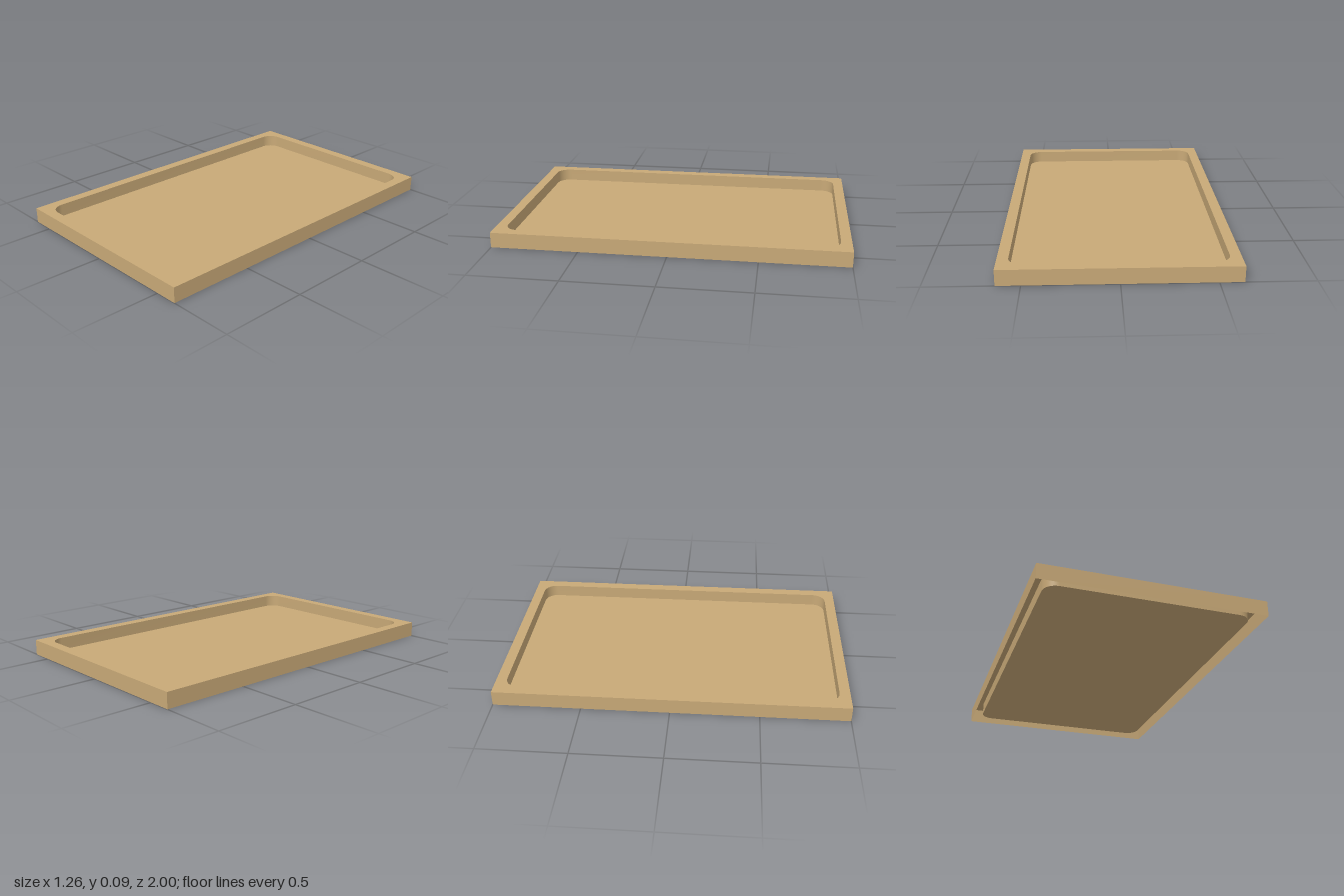
import * as THREE from 'three';
import { toCreasedNormals } from 'three/addons/utils/BufferGeometryUtils.js';

const HALF_W = 0.63, HALF_L = 1, HEIGHT = 0.088;
const BORDER = 0.06, RADIUS = 0.075, FLOOR_Y = 0.015;

// Counter-clockwise rectangle outline with rounded corners (radius 0 = sharp)
function outline(w, l, r) {
  const points = [];
  const steps = r > 0 ? 12 : 0;
  [[1, 1], [-1, 1], [-1, -1], [1, -1]].forEach(([sx, sy], corner) => {
    for (let i = 0; i <= steps; i++) {
      const a = (corner + (steps ? i / steps : 0)) * Math.PI / 2;
      points.push(new THREE.Vector2(sx * (w - r) + r * Math.cos(a), sy * (l - r) + r * Math.sin(a)));
    }
  });
  return points;
}

// Horizontal sheet facing up
function sheet(points, y, hole) {
  const shape = new THREE.Shape(points);
  if (hole) shape.holes.push(new THREE.Path(hole));
  return new THREE.ShapeGeometry(shape).rotateX(-Math.PI / 2).translate(0, y, 0);
}

// Vertical band following an outline
function band(points, y0, y1) {
  const positions = [];
  points.forEach((a, i) => {
    const b = points[(i + 1) % points.length];
    positions.push(a.x, y0, -a.y, b.x, y0, -b.y, b.x, y1, -b.y);
    positions.push(a.x, y0, -a.y, b.x, y1, -b.y, a.x, y1, -a.y);
  });
  const geometry = new THREE.BufferGeometry();
  geometry.setAttribute('position', new THREE.Float32BufferAttribute(positions, 3));
  return toCreasedNormals(geometry, Math.PI / 6);
}

export function createModel() {
  const wood = new THREE.MeshStandardMaterial({ color: 0xc8a977, side: THREE.DoubleSide });
  wood.name = 'tan';

  const outer = outline(HALF_W, HALF_L, 0);
  const inner = outline(HALF_W - BORDER, HALF_L - BORDER, RADIUS);

  // Thin-walled tray, open underneath between the outer and inner walls
  const tray = new THREE.Group();
  tray.name = 'tray';
  const parts = {
    outerWalls: band(outer, 0, HEIGHT),
    topRim: sheet(outer, HEIGHT, inner),
    innerWalls: band([...inner].reverse(), FLOOR_Y, HEIGHT),
    trayFloor: sheet(inner, FLOOR_Y),
  };
  for (const [name, geometry] of Object.entries(parts)) {
    const mesh = new THREE.Mesh(geometry, wood);
    mesh.name = name;
    tray.add(mesh);
  }
  return tray;
}
